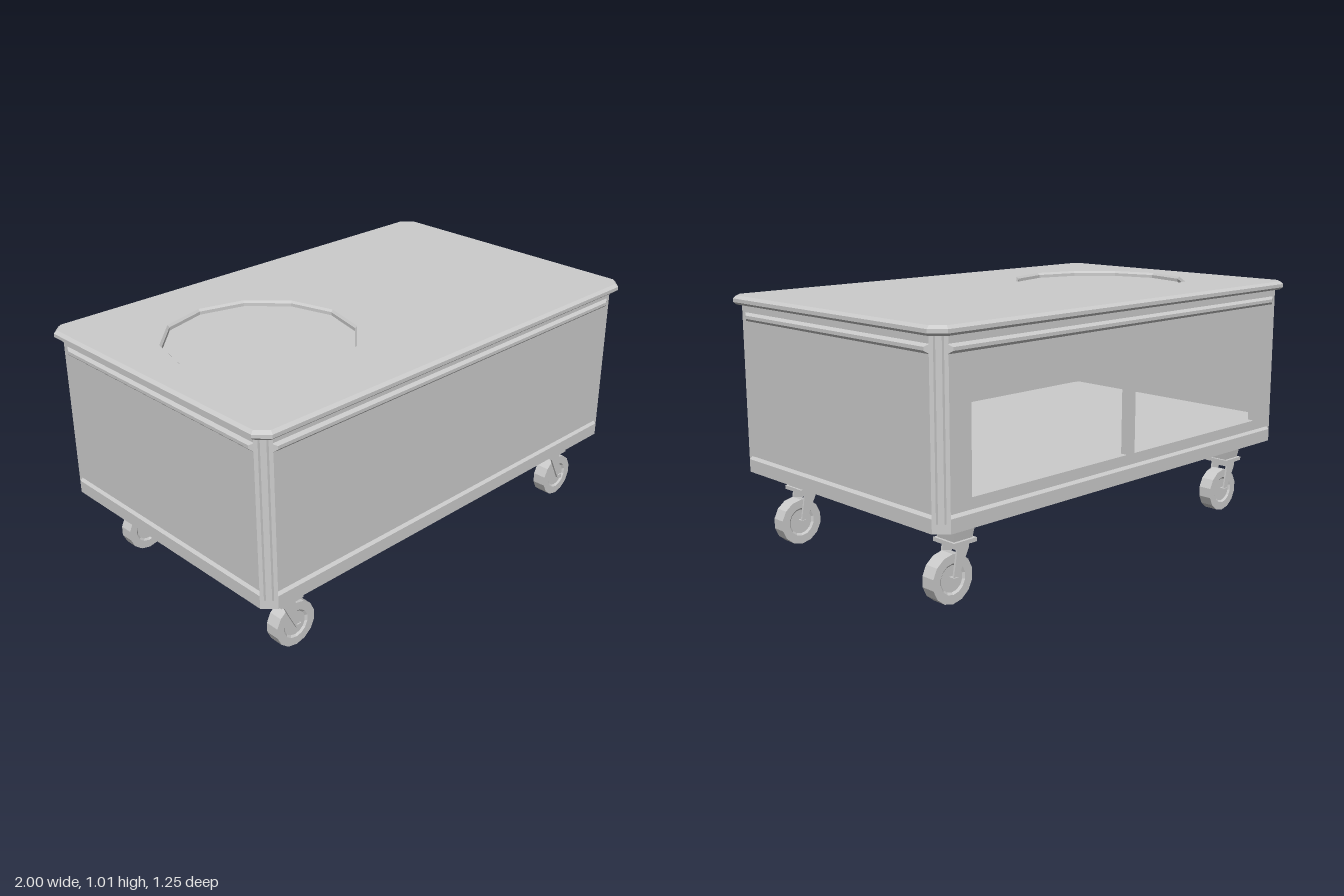
import * as THREE from 'three';

const gray = new THREE.MeshStandardMaterial({ color: 0xcccccc, flatShading: true });
gray.name = 'light gray';

function part(parent, name, geometry, x = 0, y = 0, z = 0) {
  const mesh = new THREE.Mesh(geometry, gray);
  mesh.name = name;
  mesh.position.set(x, y, z);
  parent.add(mesh);
  return mesh;
}

// Box given by its minimum and maximum corners
function block(parent, name, x0, x1, y0, y1, z0, z1) {
  return part(parent, name, new THREE.BoxGeometry(x1 - x0, y1 - y0, z1 - z0),
    (x0 + x1) / 2, (y0 + y1) / 2, (z0 + z1) / 2);
}

// Rectangle with cut corners, counter-clockwise seen from above, as [x, z]
function outline(hx, hz, c) {
  return [[hx, hz - c], [hx, c - hz], [hx - c, -hz], [c - hx, -hz],
    [-hx, c - hz], [-hx, hz - c], [c - hx, hz], [hx - c, hz]];
}

// Slab lofted through [y, inset] rings
function slab(hx, hz, c, rings, topCap) {
  const loops = rings.map(([y, d]) =>
    outline(hx - d, hz - d, c - 0.586 * d).map(([x, z]) => [x, y, z]));
  const pos = [];
  const tri = (...pts) => pts.forEach((p) => pos.push(...p));
  for (let k = 0; k + 1 < loops.length; k++) {
    const a = loops[k], b = loops[k + 1];
    for (let i = 0; i < 8; i++) {
      const j = (i + 1) % 8;
      tri(a[i], a[j], b[j]);
      tri(a[i], b[j], b[i]);
    }
  }
  const low = loops[0], high = loops[loops.length - 1];
  for (let i = 1; i < 7; i++) {
    tri(low[0], low[i + 1], low[i]);
    if (topCap) tri(high[0], high[i], high[i + 1]);
  }
  const g = new THREE.BufferGeometry();
  g.setAttribute('position', new THREE.Float32BufferAttribute(pos, 3));
  g.computeVertexNormals();
  return g;
}

// Moulding strip whose outer (+z) face is smaller than its base
function beadGeometry(length) {
  const g = new THREE.BoxGeometry(length, 0.036, 0.012);
  const p = g.attributes.position;
  for (let i = 0; i < p.count; i++) {
    if (p.getZ(i) > 0) {
      p.setX(i, Math.sign(p.getX(i)) * (length / 2 - 0.02));
      p.setY(i, p.getY(i) * 0.35);
    }
  }
  g.computeVertexNormals();
  return g;
}

function tabletop() {
  const g = new THREE.Group();
  g.name = 'tabletop';
  const top = 1.007, cx = -0.47, r = 0.375, inset = 0.012;
  part(g, 'tabletopEdge', slab(1, 0.625, 0.048,
    [[0.972, 0.012], [0.982, 0], [0.996, 0], [top, inset]], false));
  const shape = new THREE.Shape(
    outline(1 - inset, 0.625 - inset, 0.048 - 0.586 * inset).map(([x, z]) => new THREE.Vector2(x, -z)));
  const hole = [];
  for (let i = 0; i < 12; i++) {
    const a = i * Math.PI / 6;
    hole.push(new THREE.Vector2(cx + r * Math.cos(a), r * Math.sin(a)));
  }
  shape.holes.push(new THREE.Path(hole));
  part(g, 'tabletopSurface', new THREE.ShapeGeometry(shape).rotateX(-Math.PI / 2), 0, top, 0);
  // Shallow twelve-sided recess
  const profile = [[r, top], [0.367, 0.998], [0.367, 0.985], [0, 0.985]]
    .map(([x, y]) => new THREE.Vector2(x, y));
  part(g, 'roundRecess', new THREE.LatheGeometry(profile, 12), cx, 0, 0);
  return g;
}

function cabinet() {
  const g = new THREE.Group();
  g.name = 'cabinet';
  const hx = 0.975, hz = 0.6, c = 0.045, px = 0.965, pz = 0.59, t = 0.03, y0 = 0.34, y1 = 0.98;
  part(g, 'baseRail', slab(hx, hz, c, [[0.305, 0], [0.357, 0], [0.368, 0.01]], true));
  block(g, 'shelfFloor', -0.95, 0.95, 0.35, 0.41, -0.57, 0.57);
  // Walls, set slightly behind the corner posts
  block(g, 'frontPanel', -px + 0.02, px - 0.02, y0, y1, pz - t, pz);
  for (const s of [-1, 1]) {
    const x = s * (px - 0.0075);
    block(g, 'sidePanel', x - 0.0075, x + 0.0075, y0, y1, -pz + 0.02, pz - 0.02);
  }
  // Open back: frame round two bays
  block(g, 'backTopRail', -0.945, 0.945, 0.885, y1, -pz, -pz + t);
  block(g, 'backBottomRail', -0.945, 0.945, y0, 0.41, -pz, -pz + t);
  for (const s of [-1, 1]) {
    block(g, 'backStile', Math.min(s * 0.825, s * 0.945), Math.max(s * 0.825, s * 0.945),
      0.41, 0.885, -pz, -pz + t);
  }
  block(g, 'backDivider', -0.022, 0.022, 0.41, 0.885, -pz, -pz + t);
  // Chamfered corner posts
  for (const sx of [-1, 1]) for (const sz of [-1, 1]) {
    const pts = [[hx, hz - c], [hx - c, hz], [hx - c, hz - c]]
      .map(([x, z]) => new THREE.Vector2(sx * x, -sz * z));
    const post = new THREE.ExtrudeGeometry(new THREE.Shape(pts),
      { depth: y1 - 0.31, bevelEnabled: false }).rotateX(-Math.PI / 2);
    part(g, 'cornerPost', post, 0, 0.31, 0);
  }
  // Mouldings under the top
  for (let k = 0; k < 4; k++) {
    const a = k * Math.PI / 2, side = k % 2;
    const d = (side ? px : pz) + 0.005;
    const bead = part(g, 'moulding', beadGeometry(side ? 1.1 : 1.86),
      Math.sin(a) * d, 0.925, Math.cos(a) * d);
    bead.rotation.y = a;
  }
  return g;
}

function caster(x, z) {
  const g = new THREE.Group();
  g.name = 'caster';
  const socket = new THREE.CylinderGeometry(0.055 * Math.SQRT2, 0.043 * Math.SQRT2, 0.075, 4, 1)
    .rotateY(Math.PI / 4);
  part(g, 'socket', socket, 0, 0.268, 0);
  block(g, 'collar', -0.053, 0.053, 0.216, 0.231, -0.055, 0.055);
  block(g, 'forkPlate', -0.027, 0.027, 0.197, 0.216, -0.042, 0.042);
  // Fork arms trail to the axle
  const arm = new THREE.Shape([[-0.027, 0.2], [0.027, 0.2], [0.03, 0.18], [0.047, 0.087], [0.028, 0.087], [-0.027, 0.197]]
    .reverse().map(([u, v]) => new THREE.Vector2(u, v)));
  for (const s of [-1, 1]) {
    const geo = new THREE.ExtrudeGeometry(arm, { depth: 0.008, bevelEnabled: false });
    part(g, 'forkArm', geo, 0, 0, s * 0.038 - 0.004);
  }
  block(g, 'axle', 0.028, 0.048, 0.083, 0.102, -0.047, 0.047);
  // Wheel with slightly dished sides
  const profile = [[0, -0.022], [0.05, -0.022], [0.058, -0.029], [0.092, -0.029],
    [0.092, 0.029], [0.058, 0.029], [0.05, 0.022], [0, 0.022]]
    .map(([r, h]) => new THREE.Vector2(r, h));
  const wheel = new THREE.LatheGeometry(profile, 14).rotateX(Math.PI / 2);
  part(g, 'wheel', wheel, 0.037, 0.092, 0);
  g.position.set(x, 0, z);
  return g;
}

export function createModel() {
  const model = new THREE.Group();
  model.name = 'rollingTable';
  model.add(tabletop(), cabinet());
  for (const x of [-0.793, 0.79]) for (const z of [-0.46, 0.46]) model.add(caster(x, z));
  return model;
}
